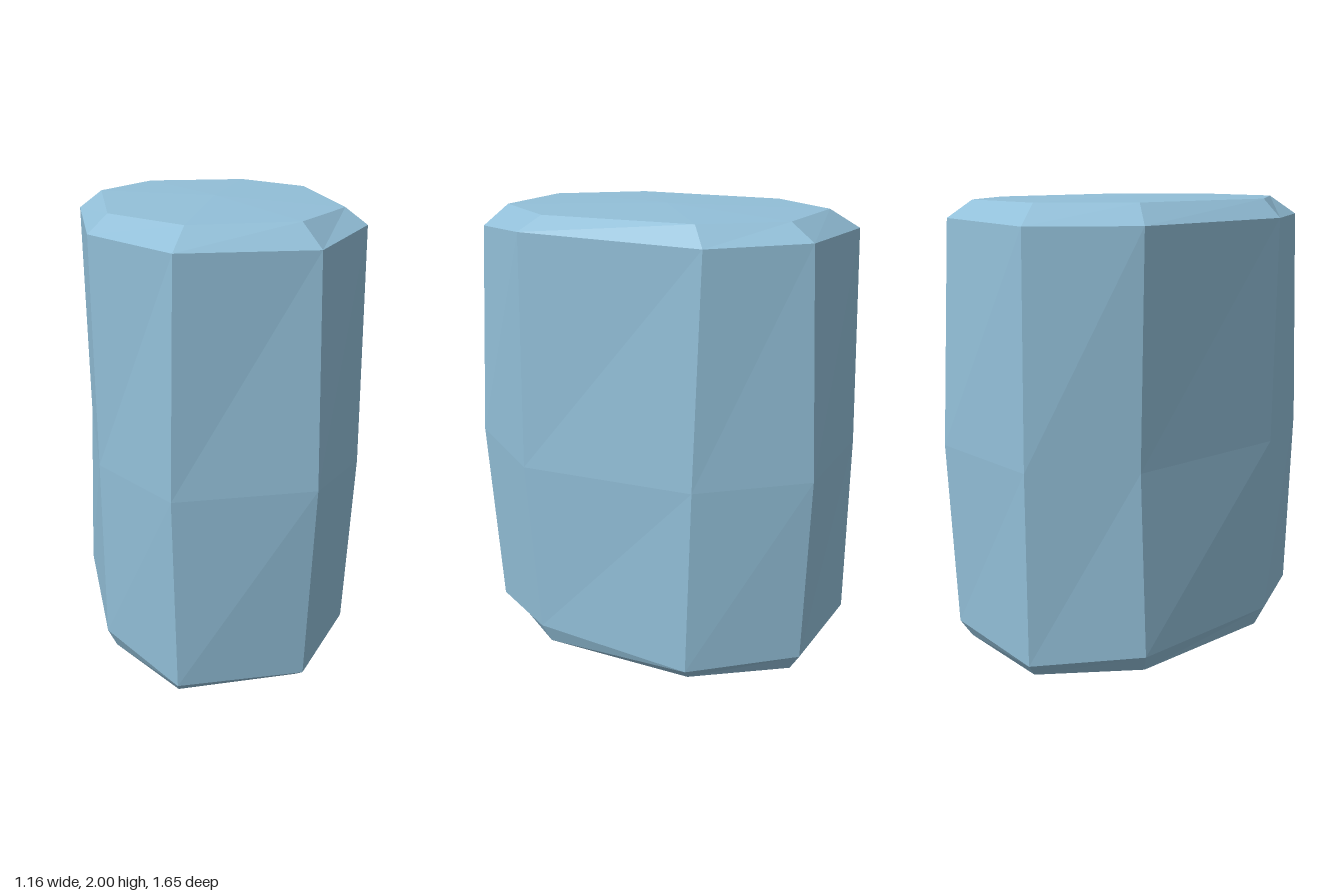
import * as THREE from 'three';

export function createModel() {
  const group = new THREE.Group();
  const paleBlue = new THREE.MeshStandardMaterial({ color: 0x92bfd8 });
  paleBlue.name = 'pale blue stone';
  paleBlue.flatShading = true;

  // Uneven octagonal cross-sections, bottom to top: [x, y, z] per corner,
  // running from the front left corner round the left side, back and right side.
  const rings = [
    [[0.25, 0, 0.71], [0.51, 0, 0.35], [0.52, 0, -0.36], [0.25, 0, -0.74],
     [-0.26, 0, -0.75], [-0.53, 0, -0.36], [-0.51, 0, 0.35], [-0.27, 0, 0.75]],
    [[0.27, 0.045, 0.77], [0.54, 0.085, 0.38], [0.58, 0.06, -0.375], [0.27, 0.08, -0.79],
     [-0.3, 0.07, -0.805], [-0.585, 0.09, -0.4], [-0.55, 0.09, 0.37], [-0.28, 0.055, 0.81]],
    [[0.3, 0.92, 0.82], [0.575, 0.88, 0.42], [0.58, 0.9, -0.4], [0.285, 0.92, -0.825],
     [-0.31, 0.92, -0.815], [-0.56, 0.9, -0.41], [-0.56, 0.905, 0.37], [-0.3, 0.91, 0.825]],
    [[0.3, 1.89, 0.765], [0.58, 1.92, 0.4], [0.54, 1.9, -0.42], [0.27, 1.91, -0.78],
     [-0.3, 1.9, -0.795], [-0.58, 1.9, -0.41], [-0.575, 1.905, 0.37], [-0.28, 1.9, 0.805]],
    [[0.24, 1.985, 0.67], [0.5, 1.985, 0.33], [0.48, 1.985, -0.36], [0.24, 1.985, -0.67],
     [-0.22, 1.985, -0.68], [-0.48, 1.985, -0.35], [-0.49, 1.985, 0.355], [-0.22, 1.985, 0.69]],
  ];

  const positions = [];
  const triangle = (a, b, c) => positions.push(...a, ...b, ...c);
  const sides = 8;
  const top = rings.length - 1;
  for (let i = 0; i < sides; i++) {
    const j = (i + 1) % sides;
    // Walls and bevels
    for (let r = 0; r < top; r++) {
      const a = rings[r][i], b = rings[r][j], c = rings[r + 1][j], d = rings[r + 1][i];
      triangle(a, b, c);
      triangle(a, c, d);
    }
    // Slightly domed top and flat base
    triangle(rings[top][i], rings[top][j], [0, 2, 0]);
    triangle(rings[0][j], rings[0][i], [0, 0, 0]);
  }

  const geometry = new THREE.BufferGeometry();
  geometry.setAttribute('position', new THREE.Float32BufferAttribute(positions, 3));
  geometry.computeVertexNormals();

  const block = new THREE.Mesh(geometry, paleBlue);
  block.name = 'stoneBlock';
  group.add(block);
  return group;
}
